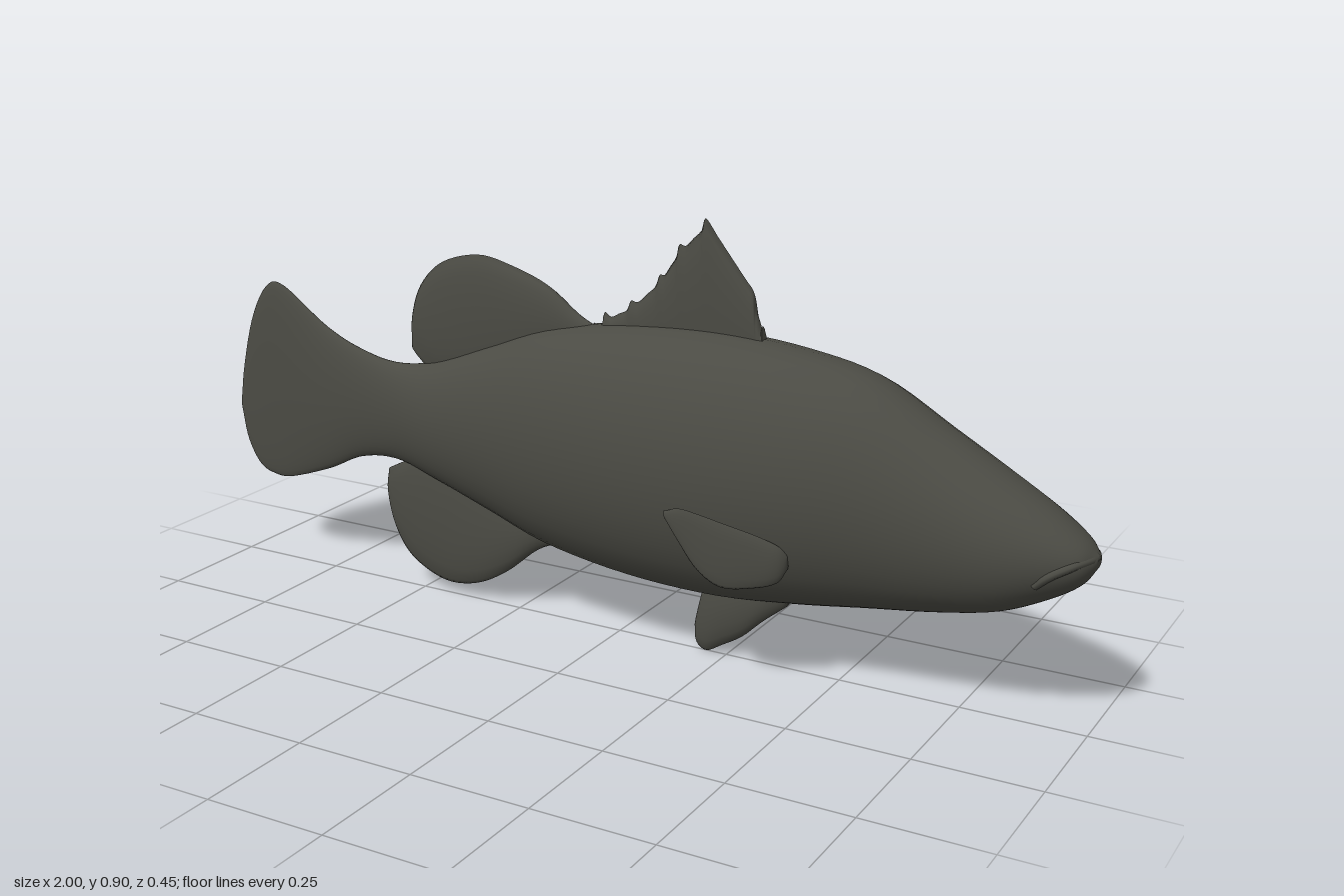
import * as THREE from 'three';

// Lofts lens-shaped sections. Each row: [topX, topY, bottomX, bottomY, halfThickness], ordered towards +x.
function loft(rows, steps, sides, bend = () => 0) {
  const curve = (pick) => new THREE.CatmullRomCurve3(rows.map(pick), false, 'catmullrom', 0.5);
  const a = curve((r) => new THREE.Vector3(r[0], r[1], r[2]));
  const b = curve((r) => new THREE.Vector3(r[3], r[4], 0));
  const pos = [];
  const index = [];
  for (let i = 0; i <= steps; i++) {
    const p = a.getPoint(i / steps);
    const q = b.getPoint(i / steps);
    for (let j = 0; j < sides; j++) {
      const ang = (j / sides) * Math.PI * 2;
      const u = (1 + Math.cos(ang)) / 2;
      const x = THREE.MathUtils.lerp(p.z, p.x, u);
      pos.push(x, THREE.MathUtils.lerp(q.x, p.y, u), Math.sin(ang) * Math.max(q.y, 0.001) + bend(x));
      if (i < steps) {
        const k = i * sides + j;
        const n = i * sides + ((j + 1) % sides);
        index.push(k, n, k + sides, n, n + sides, k + sides);
      }
    }
  }
  // End caps
  const last = steps * sides;
  for (let j = 1; j < sides - 1; j++) {
    index.push(0, j + 1, j, last, last + j, last + j + 1);
  }
  const g = new THREE.BufferGeometry();
  g.setAttribute('position', new THREE.Float32BufferAttribute(pos, 3));
  g.setIndex(index);
  g.computeVertexNormals();
  return g;
}

export function createModel() {
  const group = new THREE.Group();
  const skin = new THREE.MeshStandardMaterial({ color: 0x4b4b44 });
  skin.name = 'darkOliveSkin';
  const add = (name, geometry) => {
    const mesh = new THREE.Mesh(geometry, skin);
    mesh.name = name;
    group.add(mesh);
  };

  // Body and tail fin: x, top, bottom, half width
  const body = [
    [-1, 0.37, 0.34, 0.003], [-0.987, 0.45, 0.27, 0.005], [-0.955, 0.565, 0.215, 0.008],
    [-0.91, 0.64, 0.197, 0.012], [-0.86, 0.645, 0.2, 0.016], [-0.75, 0.57, 0.238, 0.024],
    [-0.66, 0.53, 0.28, 0.028], [-0.56, 0.51, 0.29, 0.038], [-0.45, 0.527, 0.262, 0.068],
    [-0.3, 0.585, 0.215, 0.103], [-0.15, 0.64, 0.168, 0.135], [0.05, 0.67, 0.14, 0.163],
    [0.25, 0.677, 0.135, 0.17], [0.42, 0.662, 0.152, 0.16], [0.56, 0.63, 0.172, 0.14],
    [0.7, 0.553, 0.192, 0.122], [0.82, 0.485, 0.218, 0.107], [0.91, 0.433, 0.258, 0.082],
    [0.97, 0.39, 0.297, 0.053], [0.997, 0.36, 0.335, 0.016],
  ];
  add('body', loft(body.map(([x, t, b, w]) => [x, t, x, b, w]), 90, 36));

  // Upper lip around the snout
  const lip = new THREE.CatmullRomCurve3([
    [0.9, 0.305, 0.071], [0.93, 0.33, 0.07], [0.965, 0.348, 0.05], [0.99, 0.354, 0],
    [0.965, 0.348, -0.05], [0.93, 0.33, -0.07], [0.9, 0.305, -0.071],
  ].map((p) => new THREE.Vector3(...p)));
  add('upperLip', new THREE.TubeGeometry(lip, 36, 0.009, 8));

  // Rounded rear dorsal fin
  add('rearDorsalFin', loft([
    [-0.515, 0.55, -0.46, 0.5, 0.006], [-0.512, 0.62, -0.42, 0.5, 0.014], [-0.487, 0.69, -0.38, 0.5, 0.018],
    [-0.43, 0.745, -0.33, 0.5, 0.02], [-0.34, 0.77, -0.27, 0.52, 0.022], [-0.26, 0.757, -0.2, 0.55, 0.022],
    [-0.17, 0.725, -0.14, 0.58, 0.02], [-0.1, 0.675, -0.07, 0.6, 0.014], [-0.05, 0.65, -0.03, 0.62, 0.006],
  ], 40, 16));

  // Rounded anal fin
  add('analFin', loft([
    [-0.5, 0.31, -0.588, 0.265, 0.008], [-0.48, 0.32, -0.594, 0.21, 0.015], [-0.45, 0.32, -0.575, 0.13, 0.02],
    [-0.4, 0.31, -0.53, 0.066, 0.022], [-0.36, 0.3, -0.445, 0.028, 0.022], [-0.31, 0.28, -0.36, 0.037, 0.022],
    [-0.25, 0.26, -0.28, 0.08, 0.022], [-0.18, 0.24, -0.2, 0.145, 0.02], [-0.12, 0.22, -0.13, 0.175, 0.01],
  ], 40, 16));

  // Pelvic fin
  add('pelvicFin', loft([
    [0.2, 0.15, 0.177, 0.05, 0.006], [0.215, 0.17, 0.182, 0.014, 0.014], [0.24, 0.18, 0.205, 0.001, 0.02],
    [0.28, 0.19, 0.24, 0.02, 0.022], [0.32, 0.2, 0.285, 0.048, 0.022], [0.36, 0.2, 0.33, 0.09, 0.02],
    [0.41, 0.2, 0.385, 0.135, 0.01],
  ], 30, 16));

  // Spiny dorsal fin: spine tips with scalloped webs between them
  const spines = [
    [-0.06, 0.66], [-0.035, 0.685], [0.025, 0.715], [0.09, 0.775], [0.133, 0.84],
    [0.19, 0.897], [0.295, 0.765], [0.316, 0.7],
  ];
  const rows = [];
  spines.forEach(([x, y], i) => {
    rows.push([x, y, x + 0.015, 0.6, 0.012]);
    const next = spines[i + 1];
    if (!next) return;
    const sag = i === 5 ? 0 : 0.016;
    // The web dips just ahead of each spine tip
    for (const f of [0.25, 0.55, 0.85]) {
      const wx = THREE.MathUtils.lerp(x, next[0], f);
      const wy = THREE.MathUtils.lerp(y, next[1], f) - sag;
      rows.push([wx, wy, wx + 0.015, 0.6, 0.012]);
    }
  });
  add('spinyDorsalFin', loft(rows, (rows.length - 1) * 3, 12));

  // Pectoral fins, flaring outwards towards the rear
  const pectoral = [
    [0.222, 0.375, 0.224, 0.36, 0.003], [0.25, 0.382, 0.25, 0.315, 0.005], [0.285, 0.374, 0.285, 0.262, 0.006],
    [0.33, 0.36, 0.33, 0.23, 0.008], [0.39, 0.34, 0.39, 0.233, 0.009], [0.43, 0.32, 0.43, 0.245, 0.01],
    [0.445, 0.3, 0.445, 0.27, 0.006],
  ];
  for (const side of [1, -1]) {
    const bend = (x) => side * (0.14 + 0.08 * Math.pow(Math.max(0, (0.445 - x) / 0.222), 0.7));
    add(side > 0 ? 'rightPectoralFin' : 'leftPectoralFin', loft(pectoral, 30, 14, bend));
  }
  return group;
}
